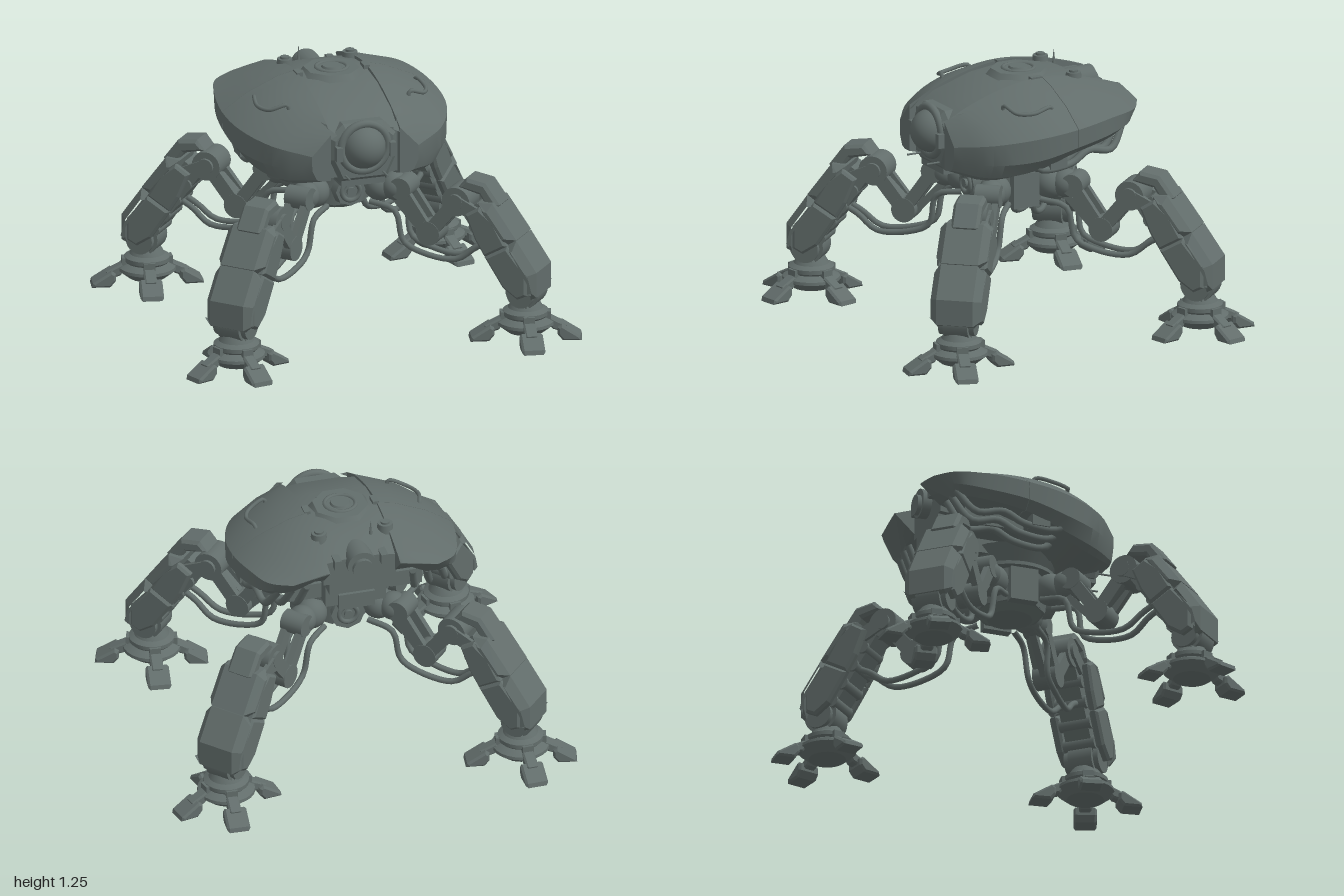
import * as THREE from 'three';
import { toCreasedNormals } from 'three/addons/utils/BufferGeometryUtils.js';

const metal = new THREE.MeshStandardMaterial({ color: 0x626d6b });
metal.name = 'grey green metal';

const V = (x, y, z) => new THREE.Vector3(x, y, z);

function add(parent, name, geo, x = 0, y = 0, z = 0) {
  const m = new THREE.Mesh(geo, metal);
  m.name = name;
  m.position.set(x, y, z);
  parent.add(m);
  return m;
}
const box = (p, name, w, h, d, x, y, z) => add(p, name, new THREE.BoxGeometry(w, h, d), x, y, z);
function cyl(p, name, r1, r2, h, x, y, z, axis = 'y', sides = 24) {
  const g = new THREE.CylinderGeometry(r1, r2, h, sides);
  if (axis === 'z') g.rotateX(Math.PI / 2);
  return add(p, name, g, x, y, z);
}
const ball = (p, name, r, x, y, z) => add(p, name, new THREE.SphereGeometry(r, 28, 18), x, y, z);
const tube = (p, name, pts, r) =>
  add(p, name, new THREE.TubeGeometry(new THREE.CatmullRomCurve3(pts.map(q => V(...q))), 24, r, 8));

// Side profile in x/y, thickened along z with chamfered edges
function slab(p, name, pts, depth, bevel = 0.01, z = 0) {
  const g = new THREE.ExtrudeGeometry(new THREE.Shape(pts.map(q => new THREE.Vector2(...q))), {
    depth: depth - 2 * bevel, bevelThickness: bevel, bevelSize: bevel, bevelOffset: -bevel, bevelSegments: 1,
  });
  return add(p, name, g.translate(0, 0, bevel - depth / 2), 0, 0, z);
}
// Straight bar between two points of the leg plane
function bar(p, name, a, b, thick, depth, z = 0) {
  const m = box(p, name, Math.hypot(b[0] - a[0], b[1] - a[1]), thick, depth, (a[0] + b[0]) / 2, (a[1] + b[1]) / 2, z);
  m.rotation.z = Math.atan2(b[1] - a[1], b[0] - a[0]);
  return m;
}

// Loft through closed rings (clockwise seen from +z, running toward -z)
function loft(rings, mirror = false) {
  const n = rings[0].length, pos = [], idx = [];
  rings.forEach(r => r.forEach(v => pos.push(mirror ? -v.x : v.x, v.y, v.z)));
  const tri = (a, b, c) => (mirror ? idx.push(a, c, b) : idx.push(a, b, c));
  for (let i = 0; i < rings.length - 1; i++)
    for (let j = 0; j < n; j++) {
      const a = i * n + j, b = i * n + (j + 1) % n;
      tri(a, b, b + n);
      tri(a, b + n, a + n);
    }
  const e = (rings.length - 1) * n;
  for (let j = 1; j < n - 1; j++) {
    tri(0, j + 1, j);
    tri(e, e + j, e + j + 1);
  }
  const g = new THREE.BufferGeometry();
  g.setAttribute('position', new THREE.Float32BufferAttribute(pos, 3));
  g.setIndex(idx);
  return toCreasedNormals(g, 0.45);
}

// Hull stations: z, half width, then heights: top, shoulder, edge, lower edge, bottom rim, recessed underside
const HULL = [
  [0.43, 0.27, 1.05, 1.01, 0.95, 0.88, 0.83, 0.82],
  [0.30, 0.43, 1.115, 1.055, 0.98, 0.88, 0.81, 0.79],
  [0.10, 0.525, 1.18, 1.10, 1.01, 0.90, 0.84, 0.83],
  [-0.10, 0.545, 1.205, 1.118, 1.035, 0.945, 0.905, 0.92],
  [-0.30, 0.515, 1.18, 1.115, 1.06, 0.98, 0.945, 0.98],
  [-0.45, 0.46, 1.14, 1.10, 1.07, 1.01, 0.97, 1.01],
  [-0.52, 0.36, 1.115, 1.10, 1.08, 1.04, 0.99, 1.02],
];
function hullRings(t0, t1, steps) {
  const rows = [0, 1, 2, 3, 4, 5, 6, 7].map(k => new THREE.CatmullRomCurve3(HULL.map(([z, w, top, sh, eh, el, b, bi], i) => {
    const s = i === 6 ? 1 : i === 5 ? 0.6 : 0; // rear face leans in below
    return [
      V(0.175, top, z), V(0.45 * w + 0.02, top * 0.66 + sh * 0.34 + 0.009, z), V(0.77 * w, sh, z), V(w, eh, z),
      V(0.995 * w, el, z + 0.04 * s), V(0.91 * w, b, z + 0.09 * s), V(0.82 * w, bi, z + 0.1 * s), V(0.175, bi, z + 0.1 * s),
    ][k];
  })));
  return Array.from({ length: steps + 1 }, (_, i) => rows.map(c => c.getPoint(t0 + (t1 - t0) * i / steps)));
}

function buildBody(root) {
  const body = new THREE.Group();
  body.name = 'body';
  root.add(body);
  // Armoured shell halves, split front and rear
  for (const m of [false, true]) {
    const side = m ? 'right' : 'left', s = m ? -1 : 1;
    add(body, side + 'FrontShell', loft(hullRings(0, 0.499, 12), m));
    add(body, side + 'RearShell', loft(hullRings(0.501, 1, 12), m));
    tube(body, side + 'Handle', [[0.40, 1.09, -0.04], [0.41, 1.125, -0.02], [0.425, 1.11, 0.08], [0.39, 1.11, 0.15], [0.31, 1.135, 0.18], [0.30, 1.10, 0.18]].map(q => [s * q[0], q[1], q[2]]), 0.01);
    // Pipes slung beneath the shell
    for (let k = 0; k < 3; k++) {
      const x = s * (0.47 - k * 0.08), d = k * 0.012;
      tube(body, side + 'Pipe', [[x, 0.89, 0.12], [x, 0.84 - d, 0.06], [x, 0.85 - d, -0.1], [x * 0.98, 0.90 - d, -0.2], [x * 0.95, 0.885 - d, -0.33], [x * 0.85, 1.0, -0.42]], 0.018);
    }
    box(body, side + 'PipeBracket', 0.07, 0.06, 0.09, s * 0.46, 0.87, -0.02);
    box(body, side + 'Underframe', 0.16, 0.08, 0.3, s * 0.25, 0.92, -0.2);
    cyl(body, side + 'Vent', 0.036, 0.042, 0.05, s * 0.165, 1.178, -0.28);
    cyl(body, side + 'VentCap', 0.022, 0.022, 0.06, s * 0.165, 1.183, -0.28);
    cyl(body, side + 'Probe', 0.005, 0.005, 0.07, s * 0.095, 0.83, 0.45, 'z', 8);
    box(body, side + 'RearRail', 0.035, 0.05, 0.13, s * 0.115, 1.11, -0.39);
  }
  // Centre deck between the halves
  const deck = HULL.slice(0, 6).map(([z, , top, , , , , bi]) =>
    [V(-0.18, bi, z), V(-0.18, top - 0.012, z), V(-0.1, top, z), V(0.1, top, z), V(0.18, top - 0.012, z), V(0.18, bi, z)]);
  deck[0].forEach(v => { v.z -= 0.035; });
  deck[5].forEach(v => { v.y -= 0.02; v.z += 0.03; });
  add(body, 'deck', loft(deck));
  // Roof hatch
  cyl(body, 'hatchBase', 0.135, 0.16, 0.03, 0, 1.197, -0.07, 'y', 8).rotation.y = Math.PI / 8;
  add(body, 'hatchRing', new THREE.TorusGeometry(0.075, 0.011, 8, 32).rotateX(Math.PI / 2), 0, 1.21, -0.07);
  cyl(body, 'hatchLid', 0.045, 0.055, 0.02, 0, 1.212, -0.07);
  for (const s of [1, -1]) box(body, 'hatchLatch', 0.03, 0.02, 0.06, s * 0.17, 1.2, -0.07);
  cyl(body, 'antenna', 0.001, 0.011, 0.09, -0.085, 1.2, -0.31, 'y', 8);
  // Rear engine
  cyl(body, 'engine', 0.065, 0.072, 0.2, 0, 1.1, -0.365, 'z');
  cyl(body, 'engineNozzle', 0.05, 0.05, 0.04, 0, 1.09, -0.465, 'z');
  box(body, 'rearBulkhead', 0.3, 0.14, 0.08, 0, 1.0, -0.38);
  box(body, 'rearUndercarriage', 0.3, 0.14, 0.3, 0, 0.89, -0.2);
  box(body, 'rearPump', 0.18, 0.08, 0.14, 0, 0.845, -0.3);
  // Front sensor eye in a faceted frame
  const oct = [[-0.1, 1.085], [-0.17, 1.02], [-0.175, 0.91], [-0.12, 0.79], [0.12, 0.79], [0.175, 0.91], [0.17, 1.02], [0.1, 1.085]];
  slab(body, 'eyeFrame', oct, 0.14, 0.025, 0.345);
  add(body, 'eyeRing', new THREE.TorusGeometry(0.118, 0.02, 10, 40), 0, 0.965, 0.415);
  ball(body, 'eye', 0.107, 0, 0.965, 0.402);
  for (const s of [1, -1]) box(body, 'eyeClamp', 0.03, 0.07, 0.05, s * 0.135, 0.95, 0.425);
  box(body, 'chin', 0.22, 0.05, 0.12, 0, 0.795, 0.34);
  // Turntable and hip hub
  cyl(body, 'turretNeck', 0.25, 0.19, 0.09, 0, 0.815, 0);
  cyl(body, 'turretRing', 0.225, 0.225, 0.018, 0, 0.762, 0, 'y', 32);
  const hub = cyl(body, 'hub', 0.19, 0.17, 0.16, 0, 0.67, 0, 'y', 8);
  hub.rotation.y = Math.PI / 8;
  cyl(body, 'hubDish', 0.16, 0.11, 0.035, 0, 0.577, 0, 'y', 16);
  for (const s of [1, -1]) {
    box(body, 'hubSideBlock', 0.05, 0.17, 0.14, s * 0.185, 0.66, 0);
    cyl(body, 'hubPort', 0.075, 0.085, 0.05, 0, 0.675, s * 0.19, 'z', 8);
    add(body, 'hubPortRing', new THREE.TorusGeometry(0.045, 0.012, 8, 24), 0, 0.675, s * 0.216);
    cyl(body, 'hubPortLens', 0.022, 0.022, 0.02, 0, 0.675, s * 0.22, 'z', 16);
  }
}

function buildLeg(root, name, angle, toeAngles) {
  const leg = new THREE.Group();
  leg.name = name;
  leg.rotation.y = angle;
  root.add(leg);
  const hip = [0.355, 0.68], knee = [0.5, 0.475], elbow = [0.65, 0.66];
  // Hip and folded thigh
  ball(leg, 'hipBall', 0.078, 0.225, 0.67, 0);
  ball(leg, 'hipJoint', 0.07, 0.305, 0.675, 0);
  cyl(leg, 'hipPivot', 0.055, 0.055, 0.12, ...hip, 0, 'z');
  cyl(leg, 'kneePivot', 0.06, 0.06, 0.12, ...knee, 0, 'z');
  cyl(leg, 'elbowPivot', 0.072, 0.072, 0.14, ...elbow, 0, 'z');
  cyl(leg, 'elbowCap', 0.04, 0.04, 0.17, ...elbow, 0, 'z');
  for (const s of [1, -1]) {
    bar(leg, 'thighBar', hip, knee, 0.06, 0.03, s * 0.042);
    bar(leg, 'liftBar', knee, elbow, 0.07, 0.03, s * 0.042);
    tube(leg, 'hose', [[0.2, 0.6, s * 0.06], [0.33, 0.57, s * 0.06], [0.37, 0.42, s * 0.05], [0.46, 0.375, s * 0.05], [0.64, 0.36, s * 0.04], [0.74, 0.43, s * 0.03], [0.84, 0.48, s * 0.03]], 0.015);
  }
  bar(leg, 'thighPiston', [0.3, 0.63], [0.48, 0.44], 0.035, 0.035);
  bar(leg, 'liftPiston', [0.5, 0.5], [0.7, 0.7], 0.035, 0.035);
  // Shin: cap, spine armour and side plates around an inner strut
  slab(leg, 'kneeCap', [[0.66, 0.735], [0.70, 0.785], [0.80, 0.77], [0.875, 0.67], [0.83, 0.62], [0.77, 0.71]], 0.14, 0.015);
  slab(leg, 'upperSpine', [[0.775, 0.68], [0.85, 0.685], [0.975, 0.517], [0.91, 0.475], [0.79, 0.62]], 0.25, 0.035);
  slab(leg, 'lowerSpine', [[0.975, 0.514], [1.08, 0.365], [1.08, 0.24], [1.05, 0.225], [1.02, 0.32], [0.91, 0.472]], 0.25, 0.035);
  for (const s of [1, -1]) {
    slab(leg, 'upperSidePlate', [[0.72, 0.62], [0.79, 0.665], [0.87, 0.6], [0.935, 0.487], [0.82, 0.42], [0.77, 0.5]], 0.045, 0.012, s * 0.102);
    slab(leg, 'lowerSidePlate', [[0.935, 0.485], [1.04, 0.36], [1.04, 0.25], [0.99, 0.225], [0.915, 0.275], [0.82, 0.418]], 0.045, 0.012, s * 0.102);
    bar(leg, 'elbowLink', elbow, [0.78, 0.6], 0.07, 0.025, s * 0.07);
  }
  bar(leg, 'innerStrut', [0.72, 0.64], [0.98, 0.27], 0.1, 0.13);
  for (let i = 0; i < 4; i++)
    cyl(leg, 'innerRoller', 0.032, 0.032, 0.16, 0.755 + i * 0.055, 0.55 - i * 0.083, 0, 'z', 12);
  // Ankle
  cyl(leg, 'anklePivot', 0.085, 0.085, 0.12, 0.99, 0.245, 0, 'z');
  for (const s of [1, -1]) {
    cyl(leg, 'ankleDisc', 0.068, 0.068, 0.025, 0.99, 0.24, s * 0.075, 'z');
    bar(leg, 'ankleFork', [0.99, 0.24], [0.99, 0.14], 0.06, 0.03, s * 0.055);
  }
  // Foot with four hinged toes
  const foot = new THREE.Group();
  foot.name = 'foot';
  foot.position.x = 0.985;
  leg.add(foot);
  const prof = [[0, 0.03], [0.09, 0.035], [0.14, 0.075], [0.138, 0.09], [0.1, 0.11], [0.11, 0.12], [0.11, 0.14], [0.085, 0.155], [0.065, 0.19], [0, 0.19]];
  add(foot, 'footBase', toCreasedNormals(new THREE.LatheGeometry(prof.map(q => new THREE.Vector2(...q)), 24), 0.4));
  for (const deg of toeAngles) {
    const toe = new THREE.Group();
    toe.name = 'toe';
    toe.rotation.y = -THREE.MathUtils.degToRad(deg);
    foot.add(toe);
    slab(toe, 'toePad', [[0.155, 0.065], [0.175, 0.078], [0.265, 0.022], [0.27, 0], [0.18, 0], [0.155, 0.03]], 0.112, 0.01);
    slab(toe, 'toeRidge', [[0.1, 0.09], [0.12, 0.11], [0.2, 0.07], [0.19, 0.03], [0.13, 0.05]], 0.06, 0.008);
    box(toe, 'toeKnuckle', 0.045, 0.045, 0.055, 0.1, 0.115, 0);
  }
}

export function createModel() {
  const root = new THREE.Group();
  root.name = 'fourLeggedWalker';
  buildBody(root);
  // Toe headings are measured from straight sideways, then made relative to the leg
  const lean = 42, a = THREE.MathUtils.degToRad(lean);
  const front = [20, 100, 193, -83].map(d => d - lean);
  const rear = [13, 88, 188, -77].map(d => d - lean);
  buildLeg(root, 'frontLeftLeg', -a, front);
  buildLeg(root, 'rearLeftLeg', a, rear.map(d => -d));
  buildLeg(root, 'frontRightLeg', Math.PI + a, front.map(d => -d));
  buildLeg(root, 'rearRightLeg', Math.PI - a, rear);
  return root;
}
